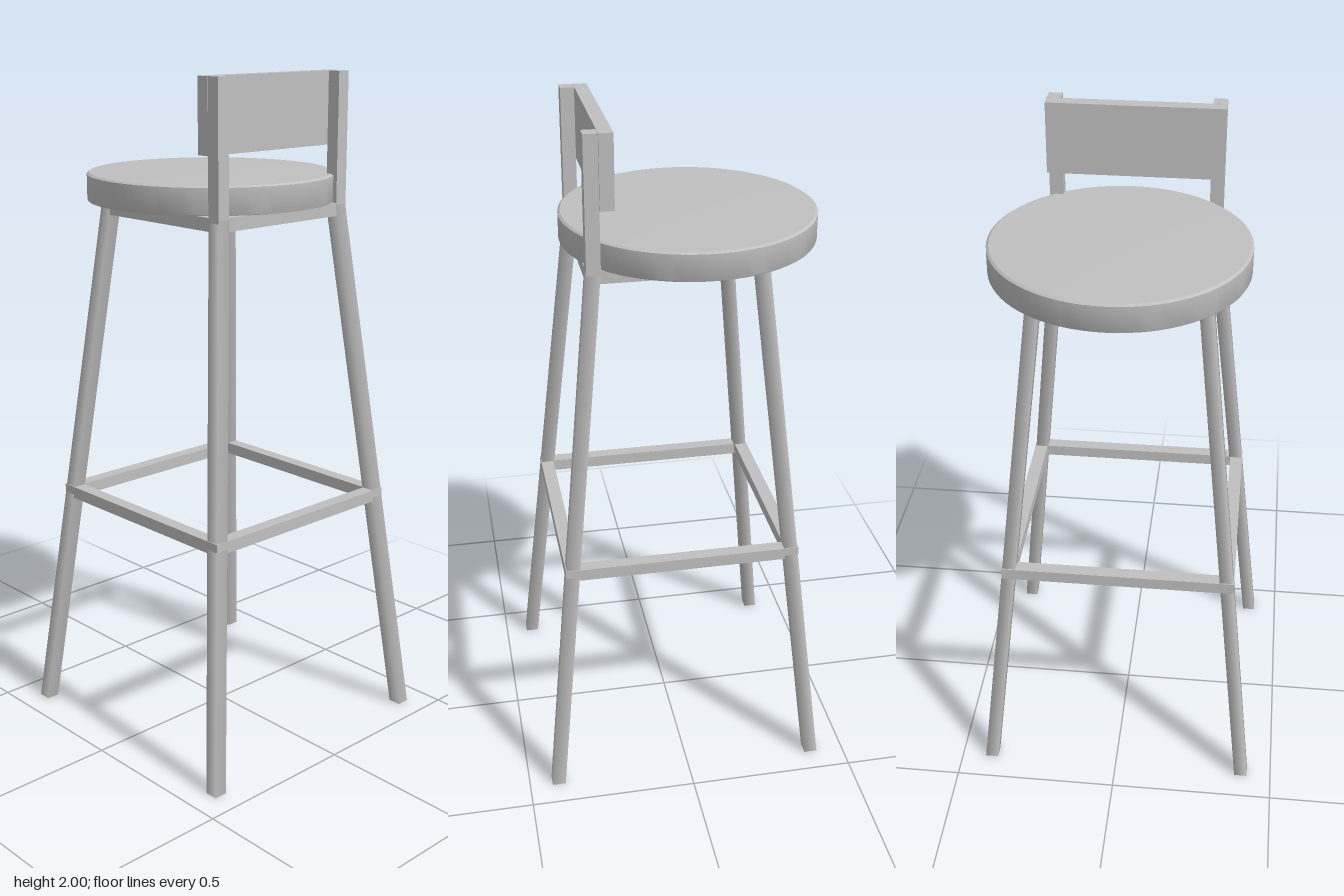
import * as THREE from 'three';
import { toCreasedNormals } from 'three/addons/utils/BufferGeometryUtils.js';

export function createModel() {
  const stool = new THREE.Group();
  stool.name = 'barStool';
  const grey = new THREE.MeshStandardMaterial({ color: 0xc0c0c0 });
  grey.name = 'plain grey';
  const bar = 0.04;

  function add(name, geometry, x = 0, y = 0, z = 0) {
    const mesh = new THREE.Mesh(geometry, grey);
    mesh.name = name;
    mesh.position.set(x, y, z);
    stool.add(mesh);
    return mesh;
  }
  const box = (name, w, h, d, x, y, z) => add(name, new THREE.BoxGeometry(w, h, d), x, y, z);

  // Square frame of four bars, given its outer half width and centre height
  function frame(name, half, y, h) {
    const zc = 0.006, off = half - bar / 2;
    for (const s of [-1, 1]) {
      box(name + 'CrossBar', half * 2, h, bar, 0, y, zc + s * off);
      box(name + 'SideBar', bar, h, half * 2 - bar * 2, s * off, y, zc);
    }
  }

  // Splayed legs: square bars sheared so that feet and tops stay level
  const legHeight = 1.62;
  for (const sx of [-1, 1]) {
    for (const sz of [-1, 1]) {
      const leg = new THREE.CylinderGeometry(bar * Math.SQRT1_2, bar * Math.SQRT1_2, legHeight, 4);
      leg.rotateY(Math.PI / 4);
      leg.translate(0, legHeight / 2, 0);
      const footX = sx * 0.405, footZ = 0.007 + sz * 0.404;
      const topX = sx * 0.234, topZ = 0.006 + sz * 0.234;
      const shear = new THREE.Matrix4().set(
        1, (topX - footX) / legHeight, 0, footX,
        0, 1, 0, 0,
        0, (topZ - footZ) / legHeight, 1, footZ,
        0, 0, 0, 1
      );
      leg.applyMatrix4(shear);
      add('leg', leg);
    }
  }

  // Footrest ring and the frame under the seat
  frame('footrest', 0.35, 0.717, 0.036);
  frame('seatFrame', 0.254, 1.605, 0.038);

  // Round seat with a very slightly domed top
  const profile = [
    [0, 1.625], [0.367, 1.625], [0.369, 1.629], [0.369, 1.702],
    [0.362, 1.707], [0.2, 1.709], [0, 1.71],
  ].map(([r, y]) => new THREE.Vector2(r, y));
  add('seat', toCreasedNormals(new THREE.LatheGeometry(profile, 80), 0.6), 0.017, 0, -0.065);

  // Low back: two uprights with a panel on the seat side
  for (const s of [-1, 1]) box('backUpright', bar, 0.4, bar, s * 0.235, 1.8, 0.24);
  box('backPanel', 0.51, 0.21, bar, 0, 1.895, 0.199);

  return stool;
}
